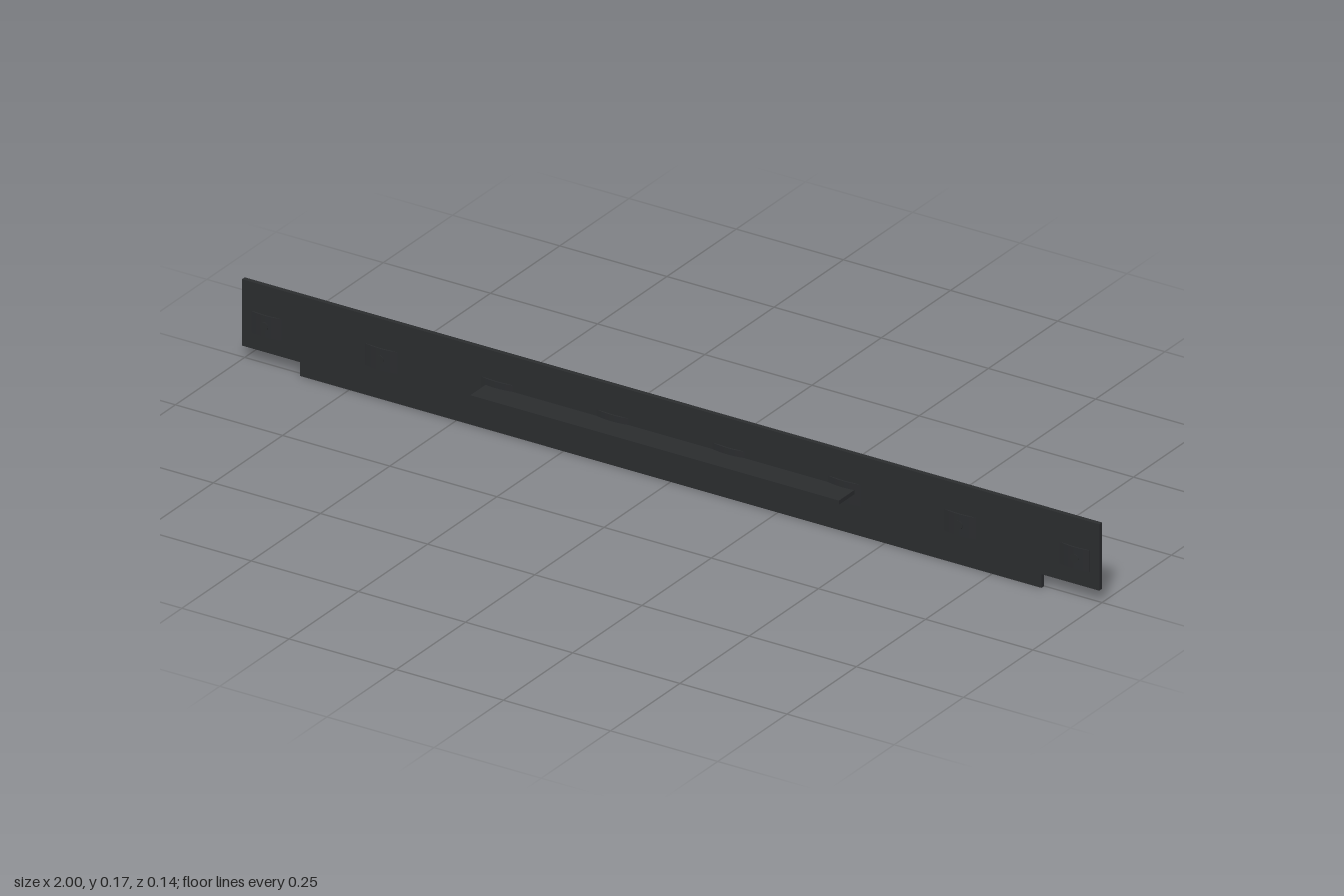
import * as THREE from 'three';

const material = new THREE.MeshStandardMaterial({ color: 0x2a2c2e });
const PITCH = 0.27;

function addPart(parent, name, geometry, x = 0, y = 0, z = 0) {
  const mesh = new THREE.Mesh(geometry, material);
  mesh.name = name;
  mesh.position.set(x, y, z);
  parent.add(mesh);
  return mesh;
}

// Depth of the wavy strip's centre line: backwards at x = 0, forwards half a pitch away
const wave = (x) => 0.0005 - 0.0125 * Math.cos((2 * Math.PI * x) / PITCH);

export function createModel() {
  const group = new THREE.Group();
  group.name = 'notchedSplicePlate';

  // Upright plate with a notch in both lower corners
  const outline = new THREE.Shape([
    [-0.865, 0], [0.865, 0], [0.865, 0.03], [1, 0.03],
    [1, 0.175], [-1, 0.175], [-1, 0.03], [-0.865, 0.03],
  ].map(([x, y]) => new THREE.Vector2(x, y)));
  addPart(group, 'uprightPlate',
    new THREE.ExtrudeGeometry(outline, { depth: 0.01, bevelEnabled: false }));

  // Flat plate crossing the middle
  addPart(group, 'crossPlate', new THREE.BoxGeometry(0.86, 0.009, 0.135), 0, 0.0935, 0);

  // Thin wavy strip weaving through the upright plate
  const front = [], back = [];
  const steps = 168, end = 0.977, half = 0.0015;
  for (let i = 0; i <= steps; i++) {
    const x = -end + (2 * end * i) / steps;
    front.push(new THREE.Vector2(x, -wave(x) - half));
    back.unshift(new THREE.Vector2(x, -wave(x) + half));
  }
  const strip = new THREE.ExtrudeGeometry(new THREE.Shape([...front, ...back]),
    { depth: 0.047, bevelEnabled: false });
  strip.rotateX(-Math.PI / 2);
  addPart(group, 'wavyStrip', strip, 0, 0.065, 0);

  // Small rivet heads on the crests, alternating front and back
  const rivet = new THREE.CylinderGeometry(0.009, 0.009, 0.003, 16).rotateX(Math.PI / 2);
  for (let i = -7; i <= 7; i++) {
    const x = (i * PITCH) / 2;
    const side = i % 2 ? 1 : -1;
    addPart(group, side > 0 ? 'frontRivet' : 'backRivet', rivet, x, 0.0885, wave(x) + side * 0.001);
  }

  return group;
}
